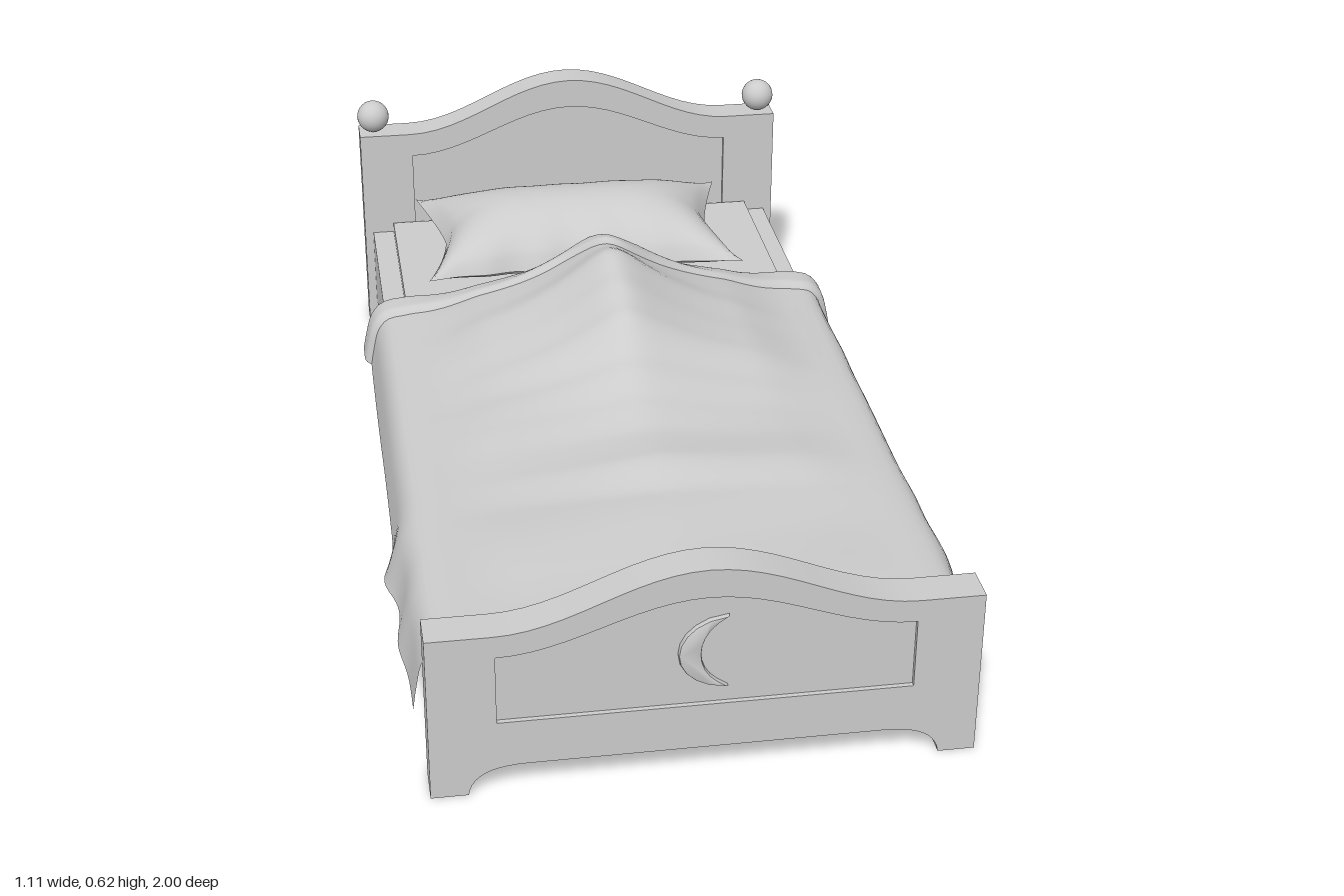
import * as THREE from 'three';
import { toCreasedNormals } from 'three/addons/utils/BufferGeometryUtils.js';

const material = new THREE.MeshStandardMaterial({ color: 0xcccccc });
const cloth = new THREE.MeshStandardMaterial({ color: 0xcccccc, side: THREE.DoubleSide });
const { clamp, lerp, smoothstep } = THREE.MathUtils;
const bump = (t, centre, width) => Math.exp(-(((t - centre) / width) ** 2));

function add(parent, name, geometry, x = 0, y = 0, z = 0, mat = material) {
  const mesh = new THREE.Mesh(geometry, mat);
  mesh.name = name;
  mesh.position.set(x, y, z);
  parent.add(mesh);
  return mesh;
}

// Surface from a rule: fn(u, v) with u, v in -1..1 returns [x, y, z]
function surface(nu, nv, fn) {
  const geometry = new THREE.PlaneGeometry(2, 2, nu, nv);
  const p = geometry.attributes.position;
  for (let i = 0; i < p.count; i++) p.setXYZ(i, ...fn(p.getX(i), p.getY(i)));
  geometry.computeVertexNormals();
  return geometry;
}

function extrude(shape, depth, options = {}) {
  const g = new THREE.ExtrudeGeometry(shape, { depth, bevelEnabled: false, curveSegments: 10, ...options });
  return toCreasedNormals(g, 0.5);
}

// Bell-shaped top edge, listed from +x to -x
function archPoints(side, rise, half) {
  const points = [];
  for (let i = 0; i <= 24; i++) {
    const t = 1 - i / 12;
    points.push(new THREE.Vector2(t * half, side + rise * (0.5 + 0.5 * Math.cos(Math.PI * t))));
  }
  return points;
}

// Arched end board with legs and a recessed panel on both faces
function endBoard(name, top, rise, panelTop, panelRise) {
  const board = new THREE.Group();
  board.name = name;
  const outline = new THREE.Shape();
  outline.moveTo(-0.51, 0);
  outline.lineTo(-0.44, 0);
  outline.bezierCurveTo(-0.435, 0.04, -0.4, 0.06, -0.33, 0.06);
  outline.lineTo(0.33, 0.06);
  outline.bezierCurveTo(0.4, 0.06, 0.435, 0.04, 0.44, 0);
  outline.lineTo(0.51, 0);
  outline.lineTo(0.51, top);
  archPoints(top, rise, 0.39).forEach((p) => outline.lineTo(p.x, p.y));
  outline.lineTo(-0.51, top);

  const panel = [new THREE.Vector2(-0.385, 0.155), new THREE.Vector2(0.385, 0.155),
    ...archPoints(panelTop, panelRise, 0.385)];
  outline.holes.push(new THREE.Path(panel));
  add(board, 'boardFrame', extrude(outline, 0.075), 0, 0, -0.0375);
  add(board, 'boardPanel', extrude(new THREE.Shape(panel), 0.055), 0, 0, -0.0275);
  return board;
}

// Height of the covers over the raised ridge, along z from head to foot
const ridge = [[-0.48, 0], [-0.44, 0.07], [-0.4, 0.135], [-0.34, 0.182], [-0.27, 0.195], [-0.2, 0.218],
  [-0.1, 0.2], [0, 0.168], [0.1, 0.1], [0.2, 0.065], [0.3, 0.047], [0.4, 0.047], [0.5, 0.015],
  [0.7, 0.015], [0.93, 0]];
function ridgeHeight(z) {
  let i = 0;
  while (i < ridge.length - 2 && z > ridge[i + 1][0]) i++;
  const [[z0, h0], [z1, h1]] = [ridge[i], ridge[i + 1]];
  return lerp(h0, h1, smoothstep(z, z0, z1) * 0.4 + clamp((z - z0) / (z1 - z0), 0, 1) * 0.6);
}
function coverHeight(x, z) {
  const a = Math.abs(x);
  const spread = 0.2 + 0.1 * smoothstep(z, 0, 0.5);
  const tent = Math.exp(-(Math.hypot(x, 0.04) - 0.04) / spread) * (1 - smoothstep(a, 0.27, 0.47));
  const ripple = 0.005 * Math.sin(z * 15 + x * 4) * (1 - smoothstep(a, 0.3, 0.45)) * smoothstep(z, -0.3, 0);
  return 0.288 + ridgeHeight(z) * tent + ripple;
}

// Head edge of the blanket, pulled back in the middle
function headEdge(x) {
  return -0.4 - 0.06 * clamp((Math.abs(x) - 0.15) / 0.33, 0, 1) + 0.07 * bump(x, 0.02, 0.1);
}

// Side drape, from the mattress edge to the lower hem
const drape = new THREE.SplineCurve([[0.44, 0.288], [0.485, 0.28], [0.51, 0.25], [0.522, 0.2], [0.53, 0.15]]
  .map(([x, y]) => new THREE.Vector2(x, y)));

// Point on the covers: s across (-1..1), z along, lift outward
function coverPoint(s, z, lift) {
  const a = Math.abs(s), side = Math.sign(s);
  if (a <= 0.7) {
    const x = (s / 0.7) * 0.44;
    return [x, coverHeight(x, z) + lift, z];
  }
  const t = (a - 0.7) / 0.3;
  const p = drape.getPoint(t);
  const tangent = drape.getTangent(t);
  const flare = side > 0
    ? 0.012 * bump(z, -0.13, 0.08) + 0.012 * bump(z, 0.5, 0.07) + 0.025 * bump(z, 0.7, 0.08)
    : 0.026 * bump(z, 0.5, 0.08) + 0.014 * bump(z, 0.72, 0.07);
  const hem = 0.006 * Math.sin(z * 13) + 0.03 * smoothstep(-z, 0.32, 0.46);
  return [side * (p.x + flare * t * t - tangent.y * lift), p.y + hem * t * t + tangent.x * lift, z];
}

const acrossX = (s) => clamp(s / 0.7, -1, 1) * 0.5;

function createBlanket() {
  const group = new THREE.Group();
  group.name = 'bedCovers';
  add(group, 'blanket', surface(80, 90, (s, v) =>
    coverPoint(s, lerp(0.925, headEdge(acrossX(s)), (v + 1) / 2), 0)), 0, 0, 0, cloth);

  // Band folded back over the blanket, with rounded thickness
  add(group, 'foldedHem', surface(80, 12, (s, v) => {
    const x = acrossX(s), t = (v + 1) / 2;
    const width = 0.08 - 0.028 * bump(x, 0, 0.12);
    return coverPoint(s, headEdge(x) + width * (1 - t), 0.014 * (1 - v ** 6));
  }), 0, 0, 0, cloth);

  // Inner layer closing the raised opening
  add(group, 'innerSheet', surface(60, 8, (u, v) => {
    const x = u * 0.44, t = (1 - v) / 2, edge = headEdge(x);
    return [x, lerp(0.268, coverHeight(x, edge), 1 - t), edge + 0.035 * Math.sin(t * Math.PI * 0.6)];
  }), 0, 0, 0, cloth);
  return group;
}

// Stuffed pillow with drawn-out corners
function createPillow() {
  const group = new THREE.Group();
  group.name = 'pillow';
  for (const face of [1, -1]) {
    add(group, face > 0 ? 'pillowTop' : 'pillowBottom', surface(40, 28, (u, q) => {
      const v = q * face;
      const fill = ((1 - u ** 4) * (1 - v * v)) ** 0.65;
      const wrinkle = 0.006 * Math.sin(u * 17) * v * v * (1 - u * u);
      const x = u * (0.37 - 0.055 * (1 - Math.abs(v) ** 1.4));
      const z = -v * (0.205 - 0.045 * (1 - Math.abs(u) ** 3)) + wrinkle;
      const seam = 0.302 + 0.015 * u * u * v * v + 0.012 * v;
      return [x, face > 0 ? seam + 0.115 * fill : Math.max(0.272, seam - 0.04 * fill), z];
    }), -0.012, 0, -0.715, cloth);
  }
  return group;
}

// Crescent ornament on the foot panel
function createMoon() {
  const shape = new THREE.Shape();
  shape.moveTo(0.034, 0.342);
  shape.bezierCurveTo(-0.08, 0.325, -0.08, 0.205, 0.034, 0.192);
  shape.bezierCurveTo(-0.032, 0.22, -0.032, 0.31, 0.034, 0.342);
  return extrude(shape, 0.004, { bevelEnabled: true, bevelThickness: 0.006, bevelSize: 0.003, bevelSegments: 3 });
}

export function createModel() {
  const bed = new THREE.Group();
  bed.name = 'bed';

  const foot = endBoard('footboard', 0.342, 0.103, 0.297, 0.09);
  foot.position.z = 0.9625;
  add(foot, 'crescentOrnament', createMoon(), 0, 0, 0.0275);
  const head = endBoard('headboard', 0.5, 0.117, 0.444, 0.105);
  head.position.z = -0.9625;
  for (const side of [-1, 1]) {
    add(head, 'postKnob', new THREE.SphereGeometry(0.038, 24, 16), side * 0.475, 0.538, 0);
  }
  bed.add(foot, head);

  // Base between the boards and mattress on top
  add(bed, 'bedBase', new THREE.BoxGeometry(0.98, 0.185, 1.86), 0, 0.1525, 0);
  add(bed, 'mattress', new THREE.BoxGeometry(0.88, 0.07, 1.84), 0, 0.235, 0);

  bed.add(createPillow(), createBlanket());
  return bed;
}
